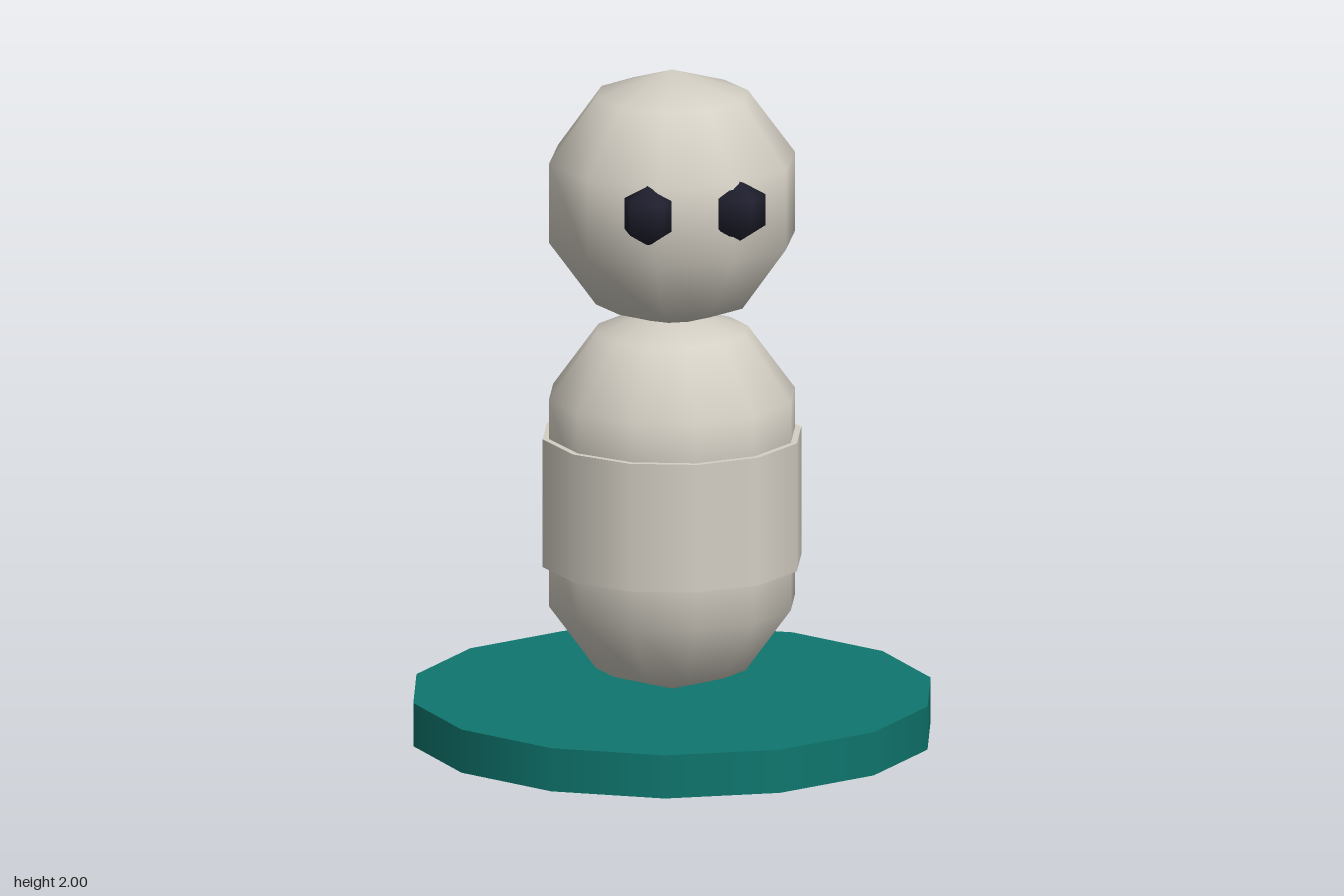
import * as THREE from 'three';

export function createModel() {
  const model = new THREE.Group();
  model.name = 'figurineOnBase';

  const material = (name, color) => {
    const m = new THREE.MeshStandardMaterial({ color });
    m.name = name;
    return m;
  };
  const teal = material('teal', 0x0f766e);
  const stone = material('stone', 0xd4cfc4);
  const ink = material('ink', 0x1f1f2e);

  const add = (name, geometry, mat, x, y, z, turn = 0) => {
    const mesh = new THREE.Mesh(geometry, mat);
    mesh.name = name;
    mesh.position.set(x, y, z);
    mesh.rotation.y = turn;
    model.add(mesh);
  };

  const R = 0.385; // shared radius of head and body

  // Round base, with corners on the x axis
  add('base', new THREE.CylinderGeometry(0.77, 0.77, 0.13, 14), teal, 0, 0.065, 0, Math.PI / 2);

  // Body: two balls joined by a slightly wider band
  const bodyBall = new THREE.SphereGeometry(R, 12, 5);
  add('lowerBody', bodyBall, stone, 0, 0.52, 0);
  add('upperBody', bodyBall, stone, 0, 0.905, 0);
  add('bodyBand', new THREE.CylinderGeometry(R, R, 0.385, 12), stone, 0, 0.7125, 0);

  // Head
  add('head', new THREE.SphereGeometry(R, 10, 5), stone, 0, 1.615, 0);

  // Eyes, both turned the same way
  const eye = new THREE.SphereGeometry(0.0925, 5, 3);
  for (const [name, side] of [['leftEye', 1], ['rightEye', -1]]) {
    add(name, eye, ink, side * 0.134, 1.648, 0.324, Math.PI);
  }

  return model;
}
